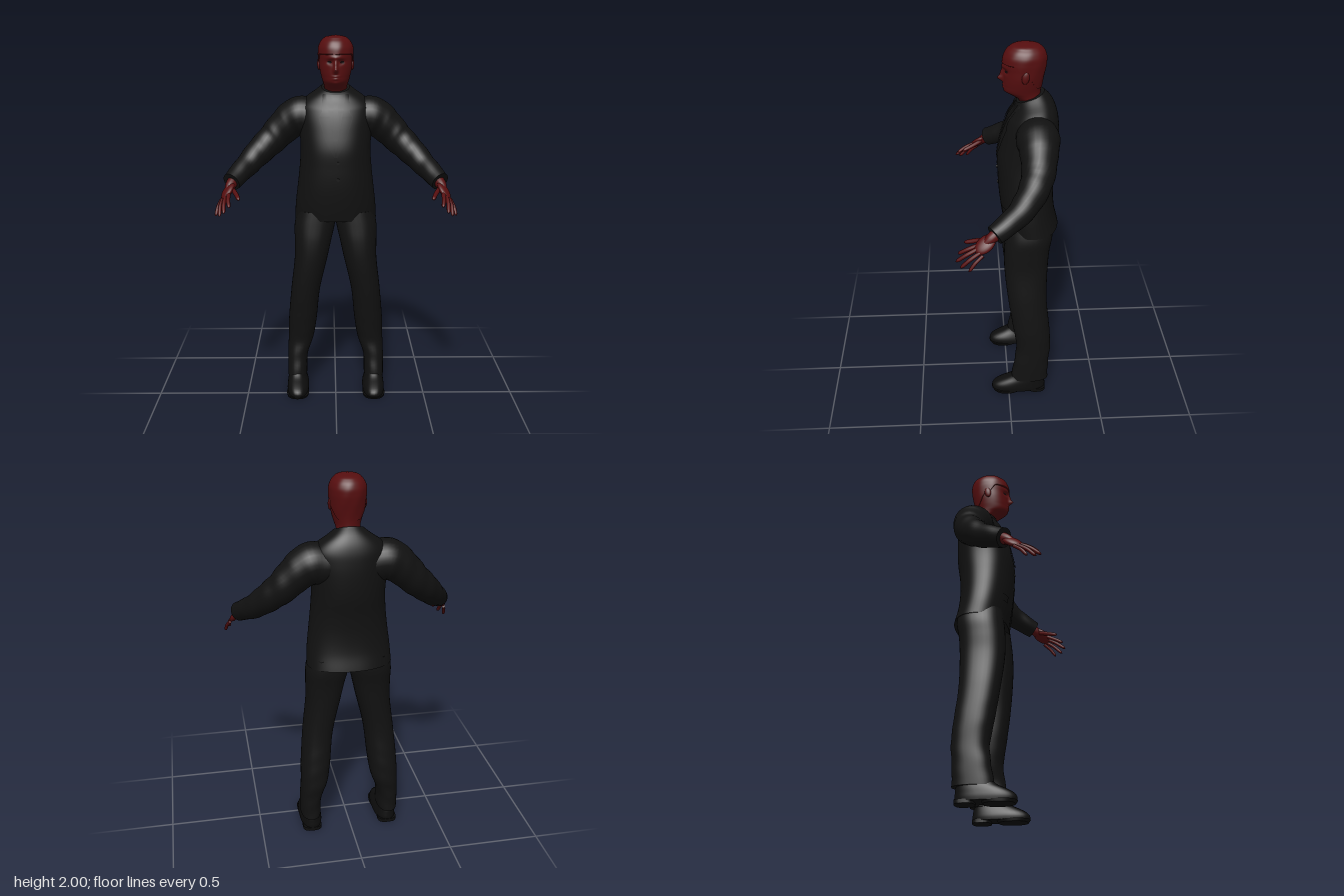
import * as THREE from 'three';

const mat = (name, color) => {
  const m = new THREE.MeshStandardMaterial({ color });
  m.name = name;
  return m;
};

// Skin a list of closed rings; flat caps use their own copies of the end rings.
function skin(rings) {
  const n = rings[0].length, pos = [], index = [];
  rings.forEach(r => r.forEach(p => pos.push(...p)));
  for (let i = 0; i < rings.length - 1; i++) {
    for (let j = 0; j < n; j++) {
      const a = i * n + j, b = i * n + (j + 1) % n;
      index.push(a, a + n, b, b, a + n, b + n);
    }
  }
  for (const top of [false, true]) {
    const ring = top ? rings[rings.length - 1] : rings[0], s = pos.length / 3;
    const mid = [0, 1, 2].map(k => ring.reduce((t, p) => t + p[k], 0) / n);
    ring.forEach(p => pos.push(...p));
    pos.push(...mid);
    for (let j = 0; j < n; j++) {
      const k = (j + 1) % n;
      if (top) index.push(s + n, s + k, s + j);
      else index.push(s + n, s + j, s + k);
    }
  }
  return finish(pos, index);
}

function finish(pos, index) {
  const g = new THREE.BufferGeometry();
  g.setAttribute('position', new THREE.Float32BufferAttribute(pos, 3));
  g.setIndex(index);
  g.computeVertexNormals();
  return g;
}

function mirrored(geo) {
  const g = geo.clone().scale(-1, 1, 1), a = g.index.array;
  for (let i = 0; i < a.length; i += 3) [a[i], a[i + 1]] = [a[i + 1], a[i]];
  return g;
}

const spline = (keys, values, size) => {
  const it = new THREE.CubicInterpolant(new Float32Array(keys), new Float32Array(values), size);
  return t => Array.from(it.evaluate(t));
};

// Upright body of oval sections [y, xMin, xMax, zFront, zBack].
function body(sections, power = 2.2) {
  const at = spline(sections.map(s => s[0]), sections.flatMap(s => s.slice(1)), 4);
  const pw = v => Math.sign(v) * Math.abs(v) ** (2 / power);
  const point = (y, a) => {
    const [x0, x1, zf, zb] = at(y);
    return [(x0 + x1) / 2 + (x1 - x0) / 2 * pw(Math.cos(a)), y, (zf + zb) / 2 + (zf - zb) / 2 * pw(Math.sin(a))];
  };
  const front = (x, y) => {
    const [x0, x1, zf, zb] = at(y);
    const u = Math.min(1, Math.abs((x - (x0 + x1) / 2) / ((x1 - x0) / 2)));
    return (zf + zb) / 2 + (zf - zb) / 2 * (1 - u ** power) ** (1 / power);
  };
  const y0 = sections[0][0], y1 = sections[sections.length - 1][0];
  const build = (rows, seg, warp = p => p, low = () => y0) => skin(
    Array.from({ length: rows + 1 }, (_, i) => Array.from({ length: seg }, (_, j) => {
      const a = j / seg * Math.PI * 2, lo = low(a);
      return warp(point(lo + (y1 - lo) * i / rows, a), a);
    })));
  return { front, build };
}

// Round limb through points [x, y, z, radius].
function limb(points, rows = 24, seg = 20, fold = 0) {
  const curve = new THREE.CatmullRomCurve3(points.map(p => new THREE.Vector3(p[0], p[1], p[2])));
  const radius = spline(points.map((_, i) => i), points.map(p => p[3]), 1);
  const rings = [];
  for (let i = 0; i <= rows; i++) {
    const u = i / rows, c = curve.getPoint(u), t = curve.getTangent(u);
    const n = t.clone().cross(new THREE.Vector3(0, 1, 0)).normalize(), b = n.clone().cross(t);
    rings.push(Array.from({ length: seg }, (_, j) => {
      const a = j / seg * Math.PI * 2;
      const r = radius(u * (points.length - 1))[0] + fold * Math.sin(u * 42 + 2 * Math.sin(a));
      return c.clone().addScaledVector(n, r * Math.cos(a)).addScaledVector(b, r * Math.sin(a)).toArray();
    }));
  }
  return skin(rings);
}

// Thin sheet of rows [y, xLeft, xRight] laid on a front surface.
function panel(rows, surface, offset, nx = 6, ny = 24) {
  const edge = spline(rows.map((_, i) => i), rows.flat(), 3), pos = [], index = [];
  for (let i = 0; i <= ny; i++) {
    const t = i / ny * (rows.length - 1), k = Math.min(rows.length - 2, Math.floor(t));
    const [A, B] = [edge(k), edge(k + 1)];
    const [y, l, r] = A.map((v, q) => v + (B[q] - v) * (t - k));
    for (let j = 0; j <= nx; j++) {
      const x = l + (r - l) * j / nx;
      pos.push(x, y, surface(x, y) + offset);
      if (i < ny && j < nx) {
        const a = i * (nx + 1) + j, b = a + nx + 1;
        index.push(a, a + 1, b, b, a + 1, b + 1);
      }
    }
  }
  return finish(pos, index);
}

export function createModel() {
  const model = new THREE.Group();
  model.name = 'suitedMan';
  const skinRed = mat('darkRedSkin', 0x560e0f), suit = mat('blackSuit', 0x111111);
  const shirtBlack = mat('blackShirt', 0x0d0d0d), eyeDark = mat('darkEyes', 0x120405);
  const add = (name, geo, m) => {
    const mesh = new THREE.Mesh(geo, m);
    mesh.name = name;
    model.add(mesh);
  };
  const pair = (name, geo, m) => {
    add('left' + name, geo, m);
    add('right' + name, mirrored(geo), m);
  };
  const sym = rows => rows.map(([y, r, f, b]) => [y, -r, r, f, b]);

  // Jacket, with the neckline dipping at the front
  const jacket = body(sym([
    [1.012, .225, .016, -.274], [1.1, .219, .03, -.253], [1.2, .207, .042, -.245], [1.3, .196, .048, -.25],
    [1.4, .19, .049, -.264], [1.5, .195, .03, -.268], [1.58, .2, .008, -.265], [1.64, .193, -.015, -.257],
    [1.69, .155, -.034, -.24], [1.73, .106, -.045, -.215], [1.757, .075, -.048, -.188]]), 2.25);
  const dip = y => .055 * THREE.MathUtils.clamp((y - 1.62) / .135, 0, 1);
  add('jacket', jacket.build(60, 64, ([x, y, z], a) => [x, y - dip(y) * (Math.sin(a) + 1) / 2, z]), suit);
  const chest = (x, y) => {
    let yy = y;
    for (let i = 0; i < 8; i++) yy = y + dip(yy);
    return jacket.front(x, Math.min(yy, 1.757));
  };

  // Shirt, tie, lapels, front edge, pockets and buttons
  add('shirt', panel([[1.4, -.002, .002], [1.69, -.055, .055]], chest, .002), shirtBlack);
  add('tie', panel([[1.41, -.004, .004], [1.46, -.017, .017], [1.645, -.011, .011], [1.685, -.018, .018]], chest, .005), suit);
  pair('Lapel', panel([[1.37, .001, .008], [1.46, .012, .055], [1.58, .034, .092], [1.6, .038, .074], [1.695, .05, .07]],
    chest, .006), suit);
  add('frontEdge', panel([[1.02, -.014, .006], [1.37, -.01, .006]], chest, .004), suit);
  pair('PocketFlap', panel([[1.115, .095, .165], [1.155, .09, .165]], chest, .005), suit);
  for (const y of [1.25, 1.34]) {
    const button = new THREE.CylinderGeometry(.008, .008, .006, 16).rotateX(Math.PI / 2);
    add('button', button.translate(.012, y, chest(.012, y) + .003), shirtBlack);
  }

  // Sleeves
  pair('Sleeve', limb([[.1, 1.56, -.14, .105], [.2, 1.565, -.145, .108], [.27, 1.52, -.145, .094], [.34, 1.45, -.135, .083],
    [.41, 1.385, -.1, .074], [.48, 1.315, -.03, .062], [.55, 1.25, .085, .05]], 48, 28, .0015), suit);

  // Trousers
  const leg = body([
    [.085, .165, .276, -.014, -.223], [.2, .16, .275, -.034, -.226], [.3, .127, .271, -.045, -.236],
    [.4, .11, .268, -.03, -.231], [.6, .088, .25, 0, -.212], [.8, .043, .228, .02, -.216],
    [.9, .021, .228, .02, -.224], [.98, .003, .227, .013, -.238], [1.06, -.005, .208, .005, -.24]], 2.4);
  pair('TrouserLeg', leg.build(56, 36, ([x, y, z], a) =>
    [x, y, z + .002 * Math.sin(y * 60 + 2 * Math.cos(a)) * Math.max(0, 1 - y / .6)]), suit);

  // Shoes with sole and heel
  const shoe = body([[.012, .155, .276, .093, -.208], [.03, .154, .277, .094, -.209], [.05, .158, .275, .08, -.207],
    [.07, .165, .272, .045, -.205], [.09, .172, .268, .002, -.2], [.13, .178, .262, -.04, -.195]], 2.4);
  pair('Shoe', shoe.build(16, 36), shirtBlack);
  pair('Sole', body([[0, .155, .276, .085, -.07], [.015, .152, .278, .096, -.08]], 2.4).build(1, 36), shirtBlack);
  pair('Heel', body([[0, .165, .27, -.11, -.21], [.02, .165, .27, -.11, -.21]], 3).build(1, 28), shirtBlack);

  // Head and neck, with the face shaped by soft bumps
  const head = body(sym([
    [1.66, .064, -.06, -.178], [1.715, .06, -.055, -.174], [1.738, .062, -.02, -.171], [1.755, .067, .008, -.17],
    [1.79, .077, .016, -.173], [1.83, .085, .017, -.18], [1.87, .088, .017, -.188], [1.91, .09, .018, -.193],
    [1.945, .086, .01, -.19], [1.973, .067, -.013, -.171], [1.988, .042, -.043, -.142], [1.994, .004, -.085, -.095]]), 2.1);
  const bump = (x, y, cx, cy, w, h) => Math.exp(-(((x - cx) / w) ** 2) - ((y - cy) / h) ** 2);
  const face = (x, y) => .026 * bump(x, y, 0, 1.822, .012, .015) + .015 * bump(x, y, 0, 1.85, .009, .024)
    + .006 * bump(x, y, 0, 1.886, .05, .01) - .01 * bump(Math.abs(x), y, .034, 1.864, .018, .012)
    + .006 * bump(x, y, 0, 1.79, .022, .006) + .006 * bump(x, y, 0, 1.777, .02, .006)
    + .006 * bump(x, y, 0, 1.752, .022, .012);
  const narrow = a => 1 - .12 * Math.max(0, Math.sin(a)) ** 2;
  add('head', head.build(100, 112, ([x, y, z], a) =>
    [x * narrow(a), y, z + (Math.sin(a) > 0 ? face(x, y) : 0)]), skinRed);
  pair('Eye', panel([[1.857, .026, .041], [1.863, .02, .048], [1.869, .026, .043]],
    (x, y) => head.front(x * 1.1, y) + face(x, y), .002), eyeDark);

  // Hair cap: high over the forehead, low at the nape
  const hairline = a => 1.85 + .055 * THREE.MathUtils.smoothstep(Math.sin(a), -.05, .45)
    - .07 * THREE.MathUtils.smoothstep(-Math.sin(a), .1, .8);
  add('hair', head.build(36, 80, ([x, y, z], a) => {
    const lift = 1.05 + .006 * Math.sin(a * 9 + y * 40);
    return [x * lift * (1 + narrow(a)) / 2, y + .006 * THREE.MathUtils.smoothstep(y, 1.93, 1.994), -.088 + (z + .088) * lift];
  }, hairline), skinRed);
  pair('Ear', new THREE.SphereGeometry(1, 16, 12).scale(.01, .032, .019).rotateX(-.15).translate(.088, 1.85, -.088), skinRed);

  // Hands
  const along = new THREE.Vector3(.035, -.07, .09).normalize();
  const across = new THREE.Vector3(.08, -.06, -.05);
  across.addScaledVector(along, -across.dot(along)).normalize();
  const palm = new THREE.SphereGeometry(1, 24, 16).scale(.04, .06, .019)
    .applyMatrix4(new THREE.Matrix4().makeBasis(across, along, across.clone().cross(along)))
    .translate(.565, 1.21, .13);
  pair('Palm', palm, skinRed);
  pair('Wrist', limb([[.53, 1.27, .05, .03], [.553, 1.235, .1, .028], [.565, 1.21, .13, .018]], 10), skinRed);
  const finger = (name, a, m, b, r) => pair(name, limb(
    [[...a, r], [...m, r], [...m.map((v, i) => v + (b[i] - v) * .8), r * .85], [...b, r * .25]], 18, 12), skinRed);
  finger('Thumb', [.548, 1.225, .115], [.518, 1.203, .175], [.498, 1.183, .23], .0115);
  finger('IndexFinger', [.557, 1.2, .168], [.555, 1.178, .215], [.546, 1.15, .26], .0105);
  finger('MiddleFinger', [.572, 1.19, .165], [.577, 1.162, .218], [.573, 1.122, .272], .0105);
  finger('RingFinger', [.587, 1.178, .155], [.597, 1.145, .205], [.598, 1.102, .25], .01);
  finger('LittleFinger', [.598, 1.168, .142], [.613, 1.135, .18], [.622, 1.095, .21], .009);

  return model;
}
